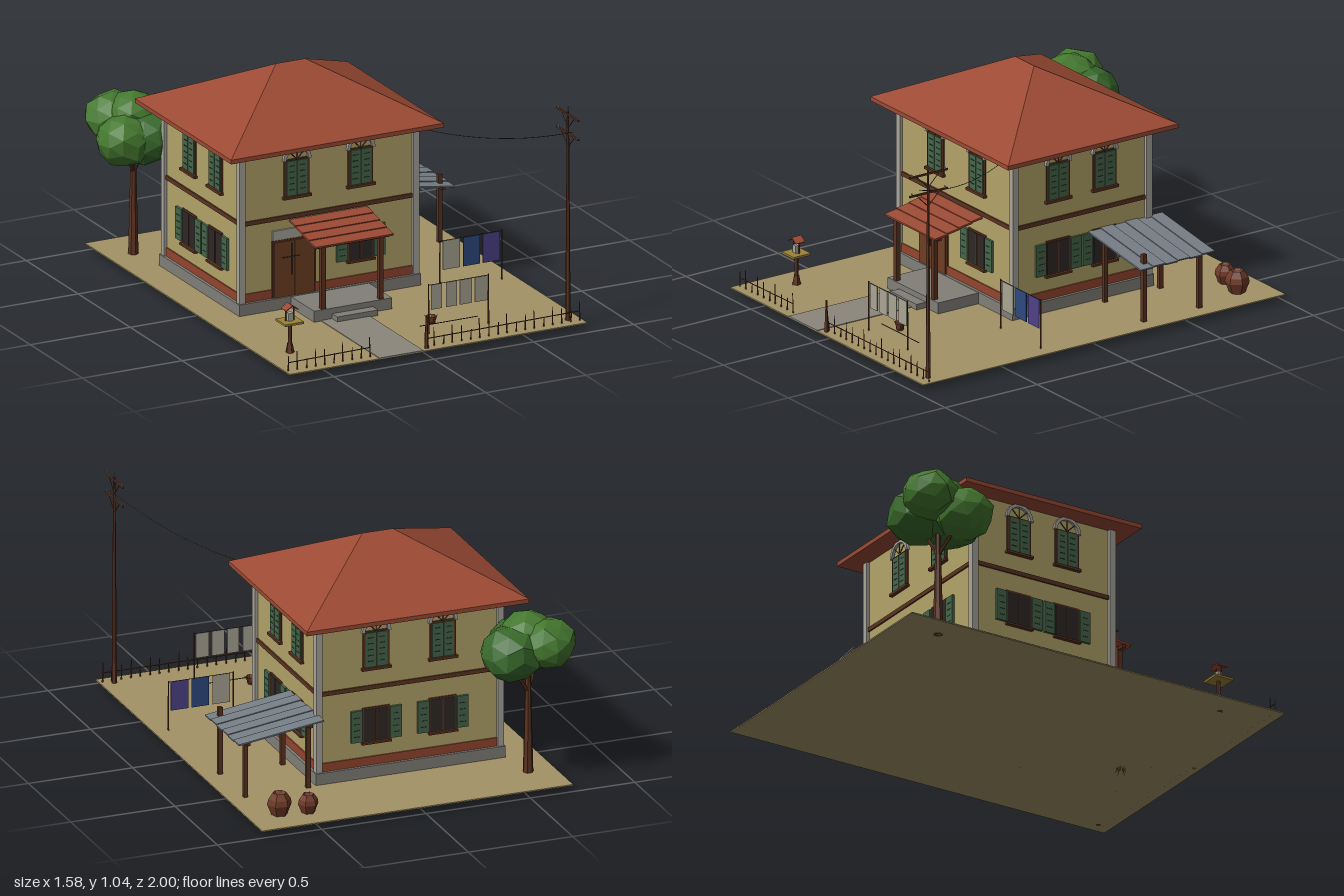
import * as THREE from 'three';

const mat = (color, side = THREE.FrontSide) =>
  new THREE.MeshStandardMaterial({ color, flatShading: true, side });
const M = {
  wall: mat(0xb3a469), roof: mat(0x9c4a34), wood: mat(0x5c3321), door: mat(0x6e3f24),
  skirt: mat(0x94452f), stone: mat(0x827f78), pale: mat(0xa9a59c), green: mat(0x46664a),
  dark: mat(0x2d2826), metal: mat(0x767e86), ground: mat(0xa39367), path: mat(0x8b867c),
  leaf: mat(0x38692b), leafLight: mat(0x44782f), clay: mat(0x6f3a28, THREE.DoubleSide),
  cloth: mat(0xaaa694), blue: mat(0x2f4a80), purple: mat(0x4e4289), straw: mat(0x9c8136),
};

function add(parent, name, geo, m, x = 0, y = 0, z = 0) {
  const mesh = new THREE.Mesh(geo, m);
  mesh.name = name;
  mesh.position.set(x, y, z);
  parent.add(mesh);
  return mesh;
}
// box given by its limits on each axis
const span = (p, name, m, x0, x1, y0, y1, z0, z1) =>
  add(p, name, new THREE.BoxGeometry(x1 - x0, y1 - y0, z1 - z0), m,
    (x0 + x1) / 2, (y0 + y1) / 2, (z0 + z1) / 2);
// thin round bar between two points
function bar(p, name, m, a, b, r = 0.003, r2 = r, sides = 5) {
  const A = new THREE.Vector3(...a), B = new THREE.Vector3(...b), d = B.clone().sub(A);
  const mesh = add(p, name, new THREE.CylinderGeometry(r2, r, d.length(), sides), m);
  mesh.position.copy(A).add(B).multiplyScalar(0.5);
  mesh.quaternion.setFromUnitVectors(new THREE.Vector3(0, 1, 0), d.normalize());
  return mesh;
}
function group(parent, name, x = 0, y = 0, z = 0) {
  const g = new THREE.Group();
  g.name = name;
  g.position.set(x, y, z);
  parent.add(g);
  return g;
}

// hip roof: eave slab rising to a short ridge
function hipRoof(x0, x1, z0, z1, yb, ye, yr, r0, r1, zr) {
  const c = (y) => [[x0, y, z1], [x1, y, z1], [x1, y, z0], [x0, y, z0]];
  const b = c(yb), e = c(ye), L = [r0, yr, zr], R = [r1, yr, zr], t = [];
  const quad = (p, q, r, s) => t.push(p, q, r, p, r, s);
  for (let i = 0; i < 4; i++) quad(b[i], b[(i + 1) % 4], e[(i + 1) % 4], e[i]);
  quad(e[0], e[1], R, L);
  quad(e[2], e[3], L, R);
  t.push(e[1], e[2], R, e[3], e[0], L);
  quad(b[3], b[2], b[1], b[0]);
  const g = new THREE.BufferGeometry();
  g.setAttribute('position', new THREE.Float32BufferAttribute(t.flat(), 3));
  g.computeVertexNormals();
  return g;
}

// shuttered window with a fanlight arch
function archWindow(face, u) {
  const w = group(face, 'archedWindow', u);
  span(w, 'windowFrame', M.wood, -0.063, 0.063, 0.555, 0.73, -0.01, 0.006);
  span(w, 'windowSill', M.wood, -0.07, 0.07, 0.545, 0.557, -0.01, 0.018);
  for (const s of [-1, 1]) {
    const sh = group(w, 'closedShutter', s * 0.027);
    span(sh, 'shutterPanel', M.green, -0.025, 0.025, 0.56, 0.722, 0, 0.011);
    for (let i = 0; i < 5; i++)
      span(sh, 'louvre', M.dark, -0.013, 0.013, 0.585 + i * 0.028, 0.589 + i * 0.028, 0.01, 0.0125);
  }
  add(w, 'fanlight', new THREE.CylinderGeometry(0.056, 0.056, 0.012, 12, 1, false, Math.PI / 2, Math.PI),
    M.dark, 0, 0.727, 0).rotation.x = -Math.PI / 2;
  const ring = new THREE.Shape().absarc(0, 0, 0.07, 0, Math.PI, false);
  ring.absarc(0, 0, 0.055, Math.PI, 0, true);
  add(w, 'archSurround', new THREE.ExtrudeGeometry(ring, { depth: 0.02, bevelEnabled: false, curveSegments: 8 }),
    M.pale, 0, 0.725, -0.006);
  for (const a of [0.25, 0.5, 0.75])
    bar(w, 'fanBar', M.wood, [0, 0.727, 0.007],
      [0.055 * Math.cos(a * Math.PI), 0.727 + 0.055 * Math.sin(a * Math.PI), 0.007], 0.002);
}

// open window with shutters folded back against the wall
function openWindow(face, u) {
  const w = group(face, 'openWindow', u);
  span(w, 'windowFrame', M.wood, -0.066, 0.066, 0.2, 0.365, -0.01, 0.005);
  span(w, 'windowOpening', M.dark, -0.059, 0.059, 0.207, 0.357, -0.01, 0.007);
  span(w, 'mullion', M.wood, -0.003, 0.003, 0.207, 0.357, 0, 0.01);
  span(w, 'windowSill', M.wood, -0.07, 0.07, 0.193, 0.203, -0.01, 0.018);
  for (const s of [-1, 1]) {
    const sh = group(w, 'openShutter', s * 0.094);
    span(sh, 'shutterPanel', M.green, -0.027, 0.027, 0.207, 0.357, 0, 0.012);
    for (let i = 0; i < 4; i++)
      span(sh, 'louvre', M.dark, -0.014, 0.014, 0.233 + i * 0.03, 0.236 + i * 0.03, 0.01, 0.0135);
  }
}

function buildHouse(root) {
  const h = group(root, 'house');
  span(h, 'walls', M.wall, -0.53, 0.34, 0.085, 0.795, -0.565, 0.165);
  span(h, 'plinth', M.stone, -0.55, 0.36, 0.035, 0.09, -0.585, 0.185);
  span(h, 'skirting', M.skirt, -0.536, 0.346, 0.088, 0.13, -0.571, 0.171);
  span(h, 'storeyBand', M.wood, -0.537, 0.347, 0.45, 0.47, -0.572, 0.172);
  for (const x of [-0.53, 0.34]) for (const z of [-0.563, 0.163])
    span(h, 'cornerPilaster', M.pale, x - 0.015, x + 0.015, 0.09, 0.795, z - 0.016, z + 0.016);
  add(h, 'roof', hipRoof(-0.63, 0.435, -0.665, 0.26, 0.79, 0.81, 1.045, -0.165, -0.02, -0.2), M.roof);

  // windows on all four faces
  [['frontFace', -0.095, 0.165, 0, 0.16], ['rightFace', 0.34, -0.2, 1, 0.126],
    ['backFace', -0.095, -0.565, 2, 0.16], ['leftFace', -0.53, -0.2, 3, 0.126]].forEach(([n, x, z, turn, u]) => {
    const f = group(h, n, x, 0, z);
    f.rotation.y = turn * Math.PI / 2;
    for (const s of [-1, 1]) {
      archWindow(f, s * u);
      if (turn || s > 0) openWindow(f, s * u);
    }
  });

  // front door
  span(h, 'doorFrame', M.wood, -0.378, -0.16, 0.09, 0.358, 0.155, 0.172);
  for (const x of [-0.32, -0.218])
    span(h, 'doorLeaf', M.door, x - 0.049, x + 0.049, 0.09, 0.35, 0.16, 0.178);
  span(h, 'doorUpright', M.dark, -0.284, -0.28, 0.19, 0.34, 0.17, 0.181);
  span(h, 'doorCrossBar', M.dark, -0.33, -0.245, 0.272, 0.277, 0.17, 0.181);
  span(h, 'doorLintel', M.pale, -0.375, -0.162, 0.36, 0.405, 0.155, 0.175);

  // porch slab, step, posts and lapped plank canopy
  span(h, 'porchSlab', M.stone, -0.29, 0.1, 0.035, 0.088, 0.18, 0.405);
  span(h, 'porchStep', M.stone, -0.2, 0.005, 0.035, 0.062, 0.4, 0.455);
  for (const x of [-0.24, 0.05]) span(h, 'porchPost', M.wood, x - 0.011, x + 0.011, 0.088, 0.395, 0.377, 0.4);
  span(h, 'porchBeam', M.wood, -0.28, 0.09, 0.375, 0.39, 0.38, 0.397);
  for (let i = 0; i < 4; i++)
    add(h, 'canopyPlank', new THREE.BoxGeometry(0.39, 0.009, 0.074), M.roof,
      -0.095, 0.436 - i * 0.0135, 0.19 + i * 0.065).rotation.x = 0.14;
}

function buildShed(root) {
  const s = group(root, 'leanTo');
  for (const x of [0.4, 0.7]) for (const z of [-0.29, -0.59])
    span(s, 'shedPost', M.wood, x - 0.01, x + 0.01, 0.035,
      x > 0.5 ? (z > -0.4 ? 0.355 : 0.305) : 0.345, z - 0.01, z + 0.01);
  for (let i = 0; i < 6; i++)
    add(s, 'roofSheet', new THREE.BoxGeometry(0.412, 0.007, 0.067), M.metal,
      0.546, 0.331 + (i % 2) * 0.004, -0.272 - i * 0.067).rotation.z = -0.138;
  for (const x of [0.4, 0.7])
    span(s, 'shedBeam', M.wood, x - 0.008, x + 0.008, 0.333 - (x - 0.4) * 0.138, 0.347 - (x - 0.4) * 0.138, -0.63, -0.25);
}

function buildTree(root) {
  const t = group(root, 'tree', -0.578, 0, -0.78);
  bar(t, 'trunk', M.wood, [0, 0.03, 0], [0, 0.55, 0], 0.024, 0.011, 7);
  bar(t, 'branch', M.wood, [0, 0.42, 0], [0.1, 0.58, -0.03], 0.01, 0.006);
  bar(t, 'branch', M.wood, [0, 0.42, 0], [-0.08, 0.58, 0.07], 0.01, 0.006);
  [[-0.06, 0.67, -0.08, 0.13, 0.115], [0.09, 0.63, -0.04, 0.145, 0.13], [-0.08, 0.61, 0.08, 0.135, 0.12],
    [0.02, 0.61, 0.08, 0.145, 0.125], [0, 0.7, 0, 0.13, 0.1]].forEach(([x, y, z, r, ry], i) => {
    const g = new THREE.IcosahedronGeometry(1, 1), p = g.attributes.position;
    for (let k = 0; k < p.count; k++) {
      const X = p.getX(k), Y = p.getY(k), Z = p.getZ(k);
      const f = 1 + 0.07 * Math.sin(X * 5 + i * 2) * Math.cos(Z * 4 + Y * 3 + i);
      p.setXYZ(k, X * f * r, Y * f * ry, Z * f * r);
    }
    g.computeVertexNormals();
    add(t, 'foliage', g, i % 2 ? M.leaf : M.leafLight, x, y, z);
  });
}

function buildYard(root) {
  span(root, 'ground', M.ground, -0.705, 0.785, 0.03, 0.036, -1, 0.967);
  span(root, 'path', M.path, -0.255, -0.035, 0.031, 0.039, 0.4, 0.967);

  // clay jars behind the house
  const jar = [[0, 0], [0.65, 0], [1, 0.9], [0.9, 1.35], [0.55, 1.85], [0.42, 1.7], [0, 1.5]].map(([x, y]) => new THREE.Vector2(x, y));
  [[0.51, -0.865, 0.047], [0.638, -0.84, 0.056]].forEach(([x, z, r], i) => {
    const j = add(root, 'jar', new THREE.LatheGeometry(jar, 6), M.clay, x, 0.036, z);
    j.scale.setScalar(r);
    j.rotation.y = 0.4 + i;
  });

  // picket fences with one taller gate post
  const f = group(root, 'fence');
  for (const [x0, x1] of [[-0.69, -0.28], [-0.005, 0.77]]) {
    const n = Math.round((x1 - x0) / 0.045);
    for (let i = 0; i <= n; i++) {
      const x = x0 + (x1 - x0) * i / n, top = 0.105 + 0.025 * Math.sin(i * 2.3);
      bar(f, 'picket', M.wood, [x, 0.03, 0.925], [x + 0.004 * Math.sin(i * 4), top, 0.925], 0.004, 0.002, 4);
    }
    bar(f, 'fenceRail', M.wood, [x0, 0.075, 0.925], [x1, 0.08, 0.925], 0.0025, 0.0025, 4);
  }
  bar(f, 'gatePost', M.wood, [-0.005, 0.03, 0.938], [-0.005, 0.185, 0.938], 0.011, 0.004);

  // clothes lines
  for (const [x0, x1, z, cloths] of [
    [0.09, 0.39, 0.775, [[0.13, 0.055, M.cloth], [0.205, 0.055, M.cloth], [0.277, 0.06, M.cloth], [0.353, 0.062, M.cloth]]],
    [0.405, 0.715, 0.28, [[0.462, 0.084, M.cloth], [0.563, 0.084, M.blue], [0.662, 0.084, M.purple]]]]) {
    const l = group(root, 'clothesLine');
    for (const x of [x0, x1]) bar(l, 'linePost', M.wood, [x, 0.03, z], [x, 0.27, z], 0.004, 0.003);
    bar(l, 'cord', M.dark, [x0, 0.265, z], [x1, 0.265, z], 0.0015);
    for (const [x, w, m] of cloths) span(l, 'cloth', m, x - w / 2, x + w / 2, z < 0.5 ? 0.128 : 0.148, 0.264, z - 0.002, z + 0.002);
  }
  bar(root, 'looseCord', M.dark, [0.085, 0.05, 0.702], [0.375, 0.05, 0.702], 0.002);

  // bird table
  const b = group(root, 'birdTable', -0.568, 0, 0.705);
  bar(b, 'tableFoot', M.wood, [0, 0.03, 0], [0, 0.08, 0], 0.022, 0.012);
  bar(b, 'tablePost', M.wood, [0, 0.03, 0], [0, 0.18, 0], 0.011, 0.009);
  span(b, 'tableTray', M.straw, -0.047, 0.047, 0.176, 0.186, -0.047, 0.047);
  for (const s of [-1, 1]) {
    bar(b, 'roofPost', M.wood, [s * 0.02, 0.18, 0], [s * 0.02, 0.245, 0], 0.003);
    add(b, 'tableRoof', new THREE.BoxGeometry(0.038, 0.005, 0.05), M.roof, s * 0.015, 0.25, 0).rotation.z = -s * 0.6;
  }
  span(b, 'seedBox', M.pale, -0.012, 0.012, 0.186, 0.222, -0.012, 0.012);

  // bowl on splayed legs
  const w = group(root, 'bowl', 0.165, 0, 0.658);
  add(w, 'bowlBody', new THREE.CylinderGeometry(0.026, 0.014, 0.038, 6, 1, true), M.clay, 0, 0.053, 0);
  add(w, 'bowlBase', new THREE.CylinderGeometry(0.02, 0.014, 0.01, 6), M.clay, 0, 0.04, 0);
  for (let i = 0; i < 5; i++) {
    const c = Math.cos(i * 1.2566), s = Math.sin(i * 1.2566);
    bar(w, 'bowlLeg', M.straw, [c * 0.008, 0.045, s * 0.008], [c * 0.025, 0.002, s * 0.025], 0.005, 0.001, 4);
    bar(w, 'sprig', M.straw, [c * 0.01, 0.045, s * 0.01], [c * 0.033, 0.075, s * 0.026], 0.003, 0.001, 4);
  }

  // power pole with cross arms and sagging wire
  const p = group(root, 'powerPole', 0.724, 0, 0.898);
  bar(p, 'pole', M.wood, [0, 0.03, 0], [0, 1.02, 0], 0.012, 0.005, 6);
  for (const y of [0.915, 1.005]) {
    span(p, 'crossArm', M.wood, -0.004, 0.004, y - 0.004, y + 0.004, -0.106, 0.102);
    for (const s of [-1, 1]) {
      bar(p, 'armBrace', M.wood, [0, y - 0.065, 0], [0, y, s * 0.065], 0.002);
      bar(p, 'insulator', M.pale, [0, y, s * 0.09], [0, y + 0.014, s * 0.09], 0.004);
    }
  }
  bar(p, 'poleTip', M.metal, [0, 1.0, 0], [0, 1.045, 0], 0.003, 0.002);
  const wire = new THREE.QuadraticBezierCurve3(new THREE.Vector3(0.724, 0.938, 0.95),
    new THREE.Vector3(0.55, 0.79, 0.6), new THREE.Vector3(0.35, 0.79, 0.25));
  add(root, 'wire', new THREE.TubeGeometry(wire, 16, 0.0015, 4), M.dark);
}

export function createModel() {
  const root = new THREE.Group();
  root.name = 'farmhouse';
  buildYard(root);
  buildHouse(root);
  buildShed(root);
  buildTree(root);
  return root;
}
